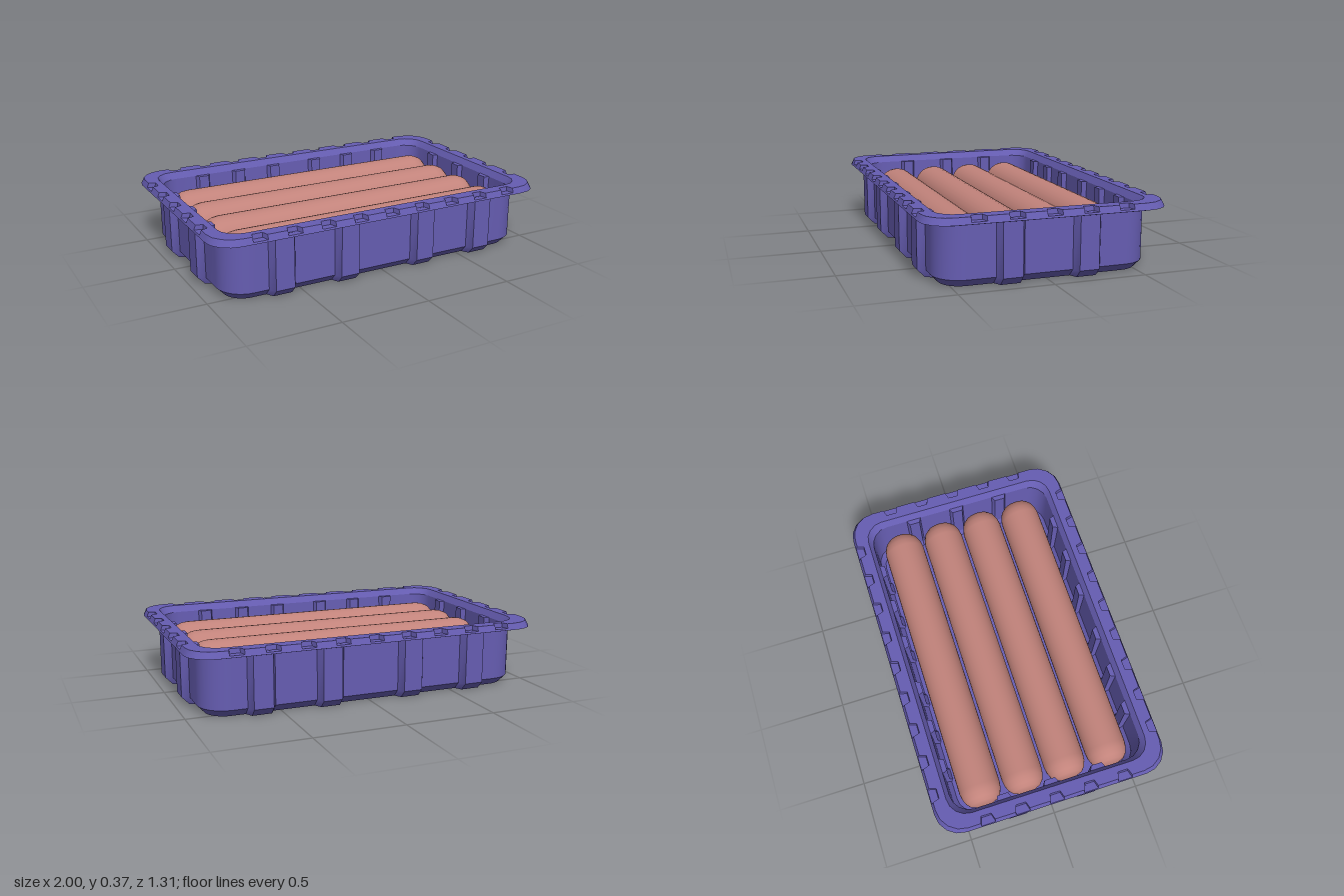
import * as THREE from 'three';
import { toCreasedNormals } from 'three/addons/utils/BufferGeometryUtils.js';

const purple = new THREE.MeshStandardMaterial({ color: 0x665db2 });
purple.name = 'purple plastic';
const pink = new THREE.MeshStandardMaterial({ color: 0xc2837b });
pink.name = 'sausage pink';

// Rounded rectangle in x/z whose sides carry trapezoid bumps (depth > 0 points outward)
function outline({ hx, hz, y, r, depth = 0 }, { alongX, alongZ, root, tip, seg }) {
  const pts = [];
  const sides = [[hx, hz, alongZ], [hz, hx, alongX], [hx, hz, alongZ], [hz, hx, alongX]];
  sides.forEach(([dist, half, centres], k) => {
    const a = k * Math.PI / 2, c = Math.cos(a), s = Math.sin(a);
    const add = (out, along) => pts.push(new THREE.Vector3(out * c - along * s, y, out * s + along * c));
    for (const m of centres) {
      add(dist, m - root / 2);
      add(dist + depth, m - tip / 2);
      add(dist + depth, m + tip / 2);
      add(dist, m + root / 2);
    }
    for (let i = 0; i <= seg; i++) {
      const t = i / seg * Math.PI / 2;
      add(dist - r + r * Math.cos(t), half - r + r * Math.sin(t));
    }
  });
  return pts;
}

// Skin between successive outlines, with optional caps
function loft(name, levels, bumps, capStart, capEnd) {
  const rings = levels.map((l) => outline(l, bumps));
  const pos = [];
  const tri = (a, b, c) => {
    const area = b.clone().sub(a).cross(c.clone().sub(a)).length();
    if (area > 1e-7) for (const p of [a, b, c]) pos.push(p.x, p.y, p.z);
  };
  for (let j = 0; j < rings.length - 1; j++) {
    const A = rings[j], B = rings[j + 1];
    for (let i = 0; i < A.length; i++) {
      const n = (i + 1) % A.length;
      tri(A[i], B[i], A[n]);
      tri(A[n], B[i], B[n]);
    }
  }
  const cap = (ring, flip) => {
    const flat = ring.map((p) => new THREE.Vector2(p.x, p.z));
    for (const [a, b, c] of THREE.ShapeUtils.triangulateShape(flat, [])) {
      if (flip) tri(ring[a], ring[c], ring[b]);
      else tri(ring[a], ring[b], ring[c]);
    }
  };
  if (capStart) cap(rings[0], false);
  if (capEnd) cap(rings[rings.length - 1], true);
  const geo = new THREE.BufferGeometry();
  geo.setAttribute('position', new THREE.Float32BufferAttribute(pos, 3));
  const mesh = new THREE.Mesh(toCreasedNormals(geo, 0.5), purple);
  mesh.name = name;
  return mesh;
}

export function createModel() {
  const group = new THREE.Group();
  group.name = 'sausageTray';

  // Outer wall with projecting ribs and a chamfered foot
  group.add(loft('outerWall', [
    { hx: 0.88, hz: 0.535, y: 0, r: 0.11, depth: 0.04 },
    { hx: 0.92, hz: 0.575, y: 0.042, r: 0.15, depth: 0.04 },
    { hx: 0.92, hz: 0.575, y: 0.348, r: 0.15, depth: 0.04 },
  ], {
    alongX: [-0.615, -0.235, 0.235, 0.615], alongZ: [-0.205, 0.205],
    root: 0.15, tip: 0.106, seg: 8,
  }, true, false));

  // Rim with a hanging lip and notches cut into its top edge
  const step = (n, gap) => Array.from({ length: n }, (_, i) => (i - (n - 1) / 2) * gap);
  group.add(loft('rim', [
    { hx: 0.9, hz: 0.555, y: 0.347, r: 0.12 },
    { hx: 0.962, hz: 0.617, y: 0.347, r: 0.12 },
    { hx: 0.968, hz: 0.623, y: 0.328, r: 0.12 },
    { hx: 1, hz: 0.655, y: 0.337, r: 0.14 },
    { hx: 0.996, hz: 0.651, y: 0.347, r: 0.14 },
    { hx: 0.996, hz: 0.651, y: 0.347, r: 0.14, depth: -0.043 },
    { hx: 0.986, hz: 0.641, y: 0.372, r: 0.14, depth: -0.037 },
    { hx: 0.915, hz: 0.57, y: 0.372, r: 0.11 },
  ], {
    alongX: step(9, 0.19), alongZ: step(5, 0.195), root: 0.08, tip: 0.056, seg: 4,
  }));

  // Inner wall with small ribs, and the floor
  group.add(loft('innerWallAndFloor', [
    { hx: 0.915, hz: 0.57, y: 0.372, r: 0.11 },
    { hx: 0.892, hz: 0.547, y: 0.335, r: 0.11 },
    { hx: 0.892, hz: 0.547, y: 0.335, r: 0.11, depth: -0.028 },
    { hx: 0.882, hz: 0.537, y: 0.09, r: 0.11, depth: -0.02 },
    { hx: 0.855, hz: 0.51, y: 0.06, r: 0.09, depth: -0.01 },
  ], {
    alongX: [-0.615, -0.38, -0.145, 0.145, 0.38, 0.615], alongZ: [-0.27, 0, 0.27],
    root: 0.085, tip: 0.06, seg: 4,
  }, false, true));

  // Four sausages lying side by side
  const end = [[0.118, 0.765], [0.113, 0.8], [0.1, 0.832], [0.08, 0.853], [0.05, 0.865], [0, 0.868]];
  const profile = [
    ...end.slice().reverse().map(([r, x]) => new THREE.Vector2(r, -x)),
    ...end.map(([r, x]) => new THREE.Vector2(r, x)),
  ];
  const sausageGeo = new THREE.LatheGeometry(profile, 32).rotateZ(Math.PI / 2);
  for (const z of step(4, 0.249)) {
    const sausage = new THREE.Mesh(sausageGeo, pink);
    sausage.name = 'sausage';
    sausage.position.set(0, 0.19, z);
    group.add(sausage);
  }
  return group;
}
